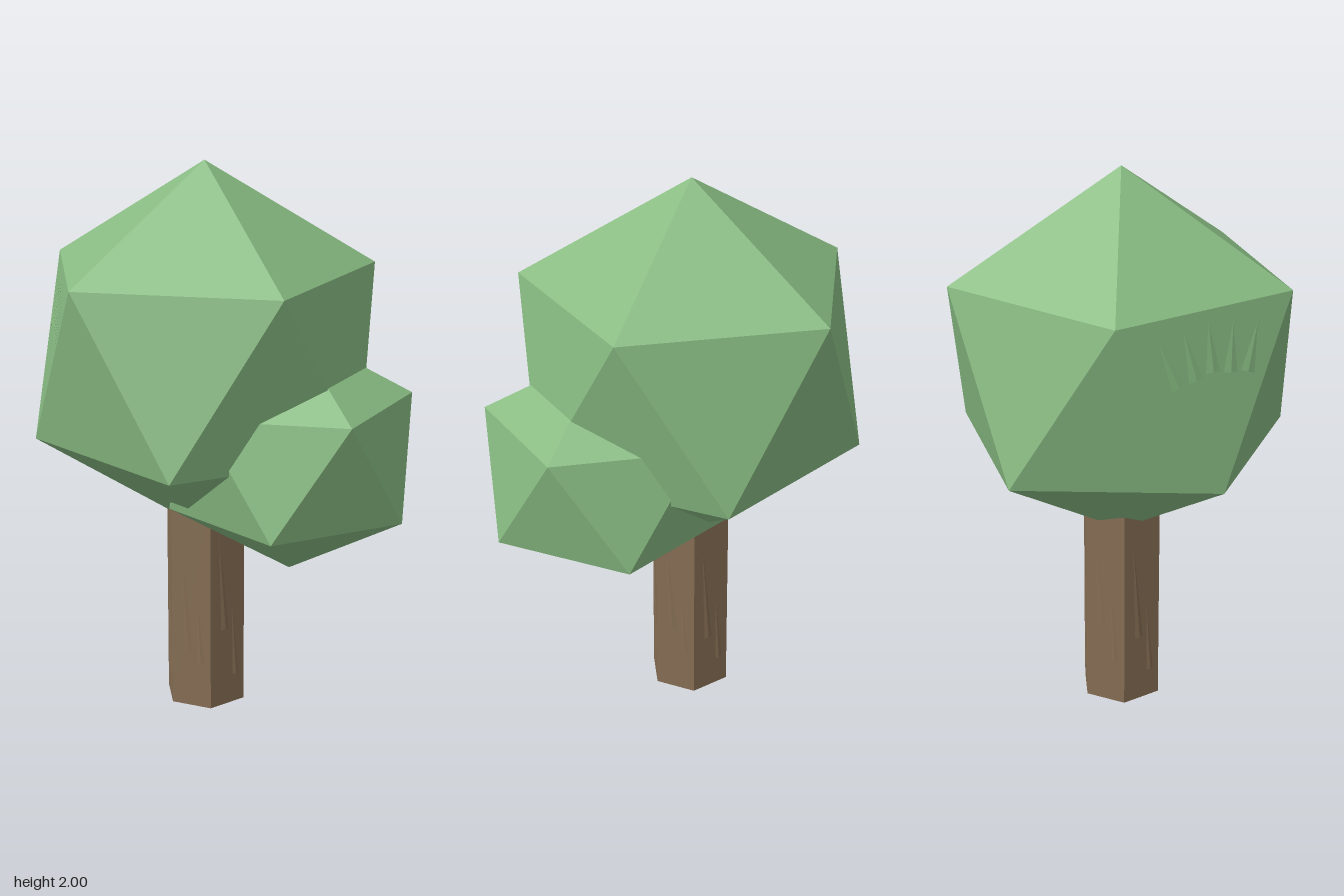
import * as THREE from 'three';

const leafMat = new THREE.MeshStandardMaterial({ color: 0x88bb82, flatShading: true });
const barkMat = new THREE.MeshStandardMaterial({ color: 0x866e54, flatShading: true });

// Twenty-sided crown standing on a point: two staggered five-point rings between two tips
function crownGeometry(ringRadius, ringHeight, tipHeight) {
  const ring = (offset, y) => Array.from({ length: 5 }, (_, k) => {
    const a = ((k + offset) * Math.PI * 2) / 5;
    return [Math.cos(a) * ringRadius, y, Math.sin(a) * ringRadius];
  });
  const upper = ring(0, ringHeight);
  const lower = ring(0.5, -ringHeight);
  const top = [0, tipHeight, 0];
  const bottom = [0, -tipHeight, 0];
  const corners = [];
  for (let k = 0; k < 5; k++) {
    const n = (k + 1) % 5;
    corners.push(top, upper[n], upper[k]);
    corners.push(upper[k], upper[n], lower[k]);
    corners.push(lower[k], upper[n], lower[n]);
    corners.push(lower[k], lower[n], bottom);
  }
  const geometry = new THREE.BufferGeometry();
  geometry.setAttribute('position', new THREE.Float32BufferAttribute(corners.flat(), 3));
  geometry.computeVertexNormals();
  return geometry;
}

function addMesh(parent, name, geometry, material, x, y, z) {
  const mesh = new THREE.Mesh(geometry, material);
  mesh.name = name;
  mesh.position.set(x, y, z);
  parent.add(mesh);
  return mesh;
}

// Thin tapered ridge lying almost flush with the face behind it
function addRidge(parent, name, material, x, y, width, height, lean) {
  const ridge = addMesh(parent, name, new THREE.ConeGeometry(width, height, 4), material, x, y, 0);
  ridge.scale.z = 0.004 / width;
  ridge.rotation.z = lean;
}

export function createModel() {
  const tree = new THREE.Group();
  tree.name = 'tree';

  // Six-sided trunk, its top hidden inside the crown
  const trunk = new THREE.Group();
  trunk.name = 'trunk';
  trunk.position.set(-0.053, 0, -0.013);
  tree.add(trunk);
  addMesh(trunk, 'trunkPost', new THREE.CylinderGeometry(0.153, 0.153, 0.82, 6), barkMat, 0, 0.41, 0);

  // Leaning bark ridges on every side of the trunk
  for (let i = 0; i < 6; i++) {
    const a = ((i + 0.5) * Math.PI) / 3;
    const side = new THREE.Group();
    side.name = 'barkSide';
    side.position.set(Math.sin(a) * 0.1325, 0, Math.cos(a) * 0.1325);
    side.rotation.y = a;
    trunk.add(side);
    addRidge(side, 'barkRidge', barkMat, -0.025, 0.5 - (i % 3) * 0.04, 0.017, 0.4, 0.07);
    addRidge(side, 'barkRidge', barkMat, 0.03, 0.25 + (i % 2) * 0.06, 0.014, 0.28, 0.06);
  }

  // Large crown, and a flatter small one low on its front left
  addMesh(tree, 'largeCrown', crownGeometry(0.607, 0.304, 0.675), leafMat, -0.053, 1.325, -0.015);
  addMesh(tree, 'smallCrown', crownGeometry(0.43, 0.198, 0.44), leafMat, 0.226, 1.003, 0.184);

  // Fan of leaf ridges on the crown's right face
  const leaves = new THREE.Group();
  leaves.name = 'leafRidges';
  leaves.position.set(-0.573, 1.48, -0.015);
  leaves.lookAt(-0.573 - 0.983, 1.48 + 0.185, -0.015);
  tree.add(leaves);
  for (let i = -2; i <= 2; i++) {
    addRidge(leaves, 'leafRidge', leafMat, i * 0.085, 0.03 - Math.abs(i) * 0.015, 0.028, 0.17, i * -0.18);
  }
  return tree;
}
